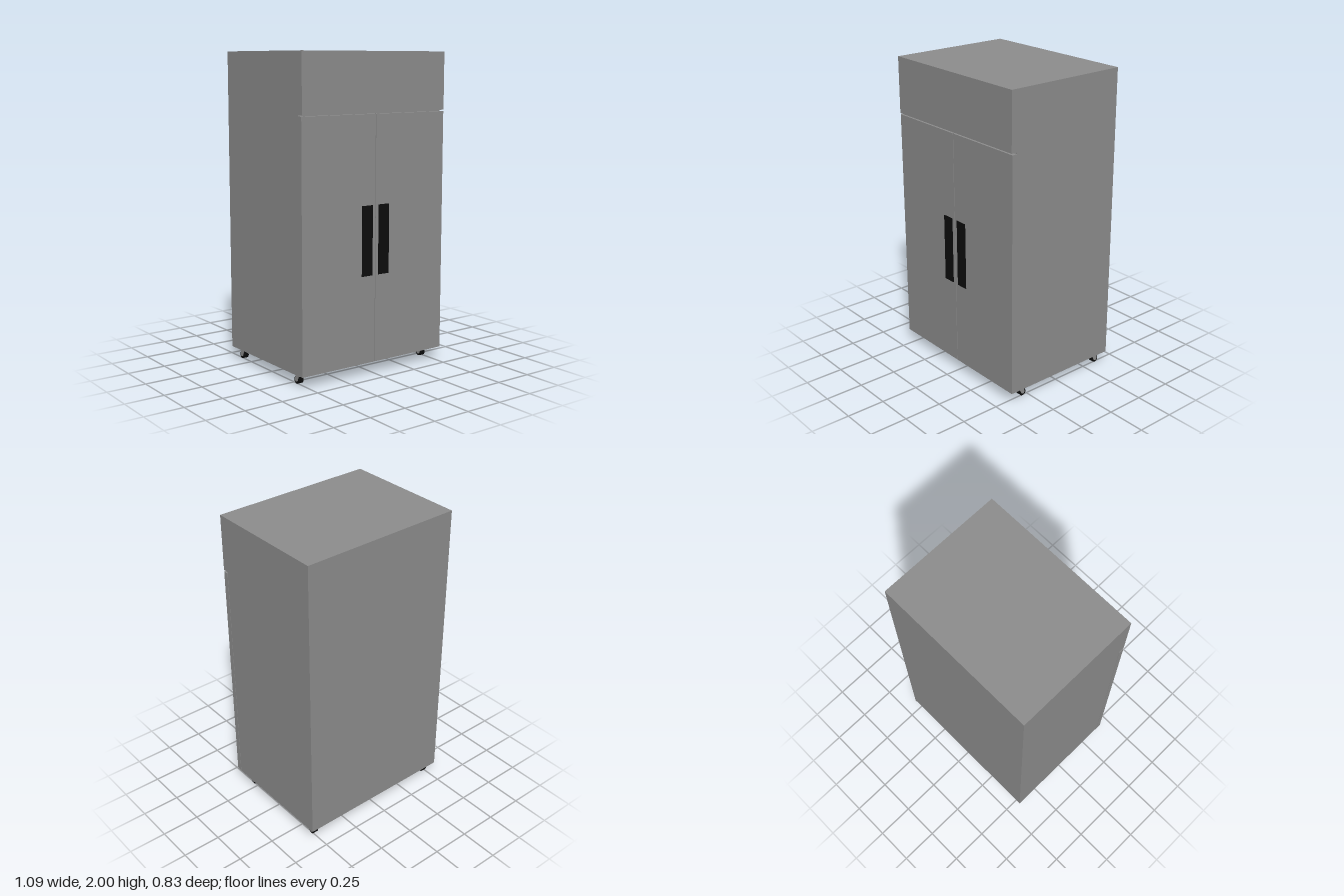
import * as THREE from 'three';

const grey = new THREE.MeshStandardMaterial({ color: 0x8d8d8d });
const black = new THREE.MeshStandardMaterial({ color: 0x0c0c0c });

function add(parent, name, geometry, material, x = 0, y = 0, z = 0) {
  const mesh = new THREE.Mesh(geometry, material);
  mesh.name = name;
  mesh.position.set(x, y, z);
  parent.add(mesh);
  return mesh;
}

// Box given by its lower and upper limits on each axis
function slab(parent, name, material, [x0, x1], [y0, y1], [z0, z1]) {
  return add(parent, name, new THREE.BoxGeometry(x1 - x0, y1 - y0, z1 - z0), material,
    (x0 + x1) / 2, (y0 + y1) / 2, (z0 + z1) / 2);
}

// Fork cheek: slants back from the neck to a rounded end around the axle
function cheekGeometry() {
  const cheek = new THREE.Shape();
  cheek.moveTo(0.017, 0.064);
  cheek.lineTo(-0.017, 0.064);
  cheek.lineTo(-0.029, 0.034);
  cheek.absarc(-0.016, 0.027, 0.014, Math.PI * 0.85, Math.PI * 1.9, false);
  cheek.closePath();
  const geometry = new THREE.ExtrudeGeometry(cheek, { depth: 0.003, bevelEnabled: false });
  return geometry.translate(0, 0, -0.0015).rotateY(-Math.PI / 2);
}

// Swivel caster: mounting plate, swivel neck, trailing fork and twin wheels
function createCaster(name) {
  const caster = new THREE.Group();
  caster.name = name;
  slab(caster, 'mountingPlate', grey, [-0.031, 0.031], [0.064, 0.075], [-0.03, 0.03]);
  add(caster, 'swivelNeck', new THREE.CylinderGeometry(0.019, 0.019, 0.014, 20), grey, 0, 0.058, 0);

  for (const side of [-1, 1]) {
    add(caster, 'forkCheek', cheekGeometry(), grey, side * 0.0195);
    const wheel = add(caster, 'wheel', new THREE.CylinderGeometry(0.024, 0.024, 0.014, 28), black,
      side * 0.0105, 0.024, -0.016);
    wheel.rotation.z = Math.PI / 2;
  }
  const axle = add(caster, 'axle', new THREE.CylinderGeometry(0.005, 0.005, 0.04, 16), grey,
    0, 0.024, -0.016);
  axle.rotation.z = Math.PI / 2;
  return caster;
}

export function createModel() {
  const cabinet = new THREE.Group();
  cabinet.name = 'uprightCabinet';

  // Main body and the panel above the doors
  slab(cabinet, 'body', grey, [-0.545, 0.545], [0.074, 2], [-0.415, 0.376]);
  slab(cabinet, 'topPanel', grey, [-0.545, 0.545], [1.634, 2], [0.376, 0.415]);

  // Doors with flat dark handle plates beside the centre gap
  for (const side of [-1, 1]) {
    const prefix = side > 0 ? 'left' : 'right';
    const span = (a, b) => (side > 0 ? [a, b] : [-b, -a]);
    slab(cabinet, prefix + 'Door', grey, span(0.002, 0.547), [0.077, 1.625], [0.376, 0.411]);
    slab(cabinet, prefix + 'Handle', black, span(0.023, 0.105), [0.632, 1.07], [0.405, 0.414]);

    // Casters at the front and back corners
    for (const [end, z] of [['Front', 0.303], ['Back', -0.337]]) {
      const caster = createCaster(prefix + end + 'Caster');
      caster.position.set(side * 0.489, 0, z);
      cabinet.add(caster);
    }
  }
  return cabinet;
}
